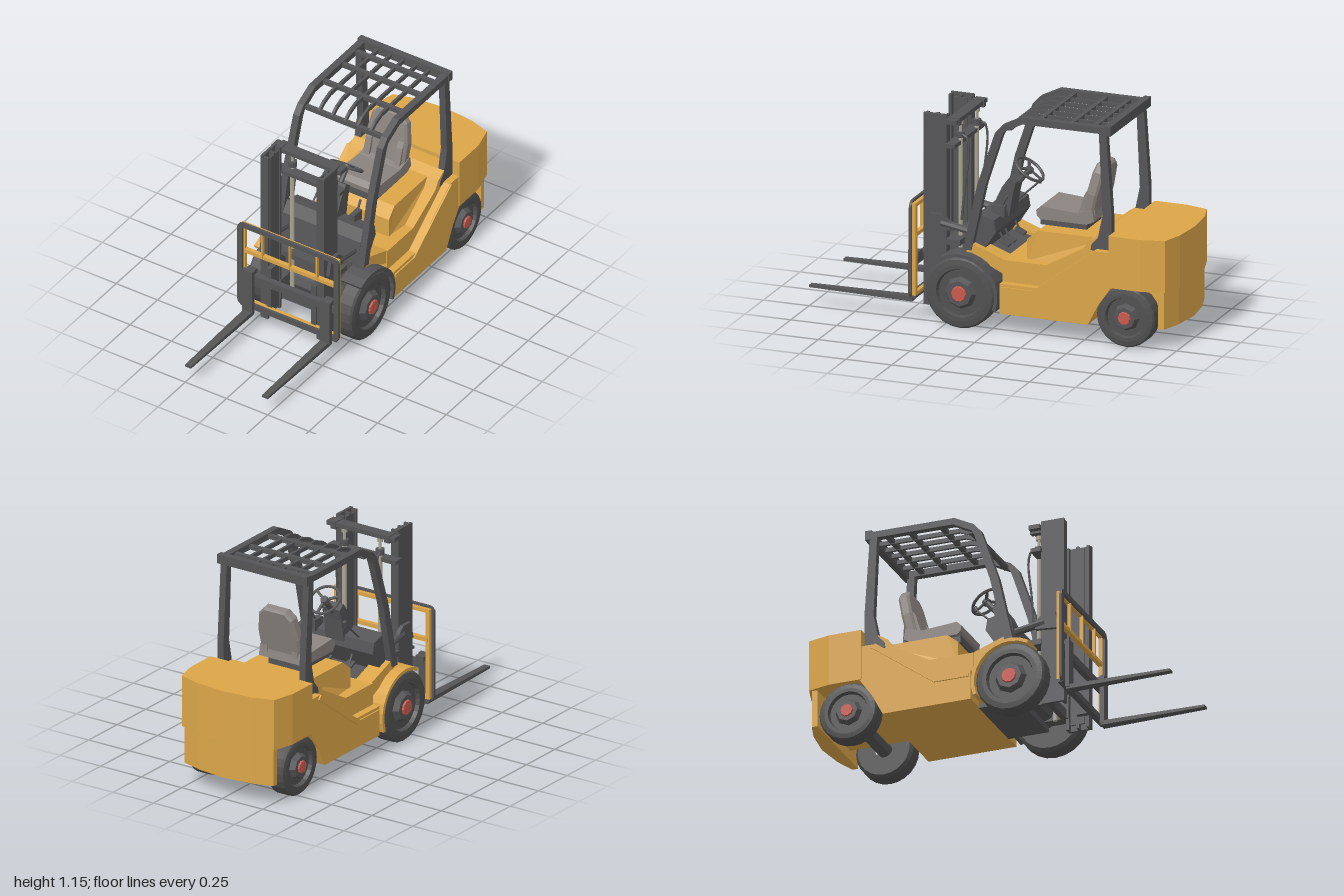
import * as THREE from 'three';

export function createModel() {
  const root = new THREE.Group();
  root.name = 'forklift';
  const mat = (name, color) => {
    const m = new THREE.MeshStandardMaterial({ color });
    m.name = name;
    return m;
  };
  const yellow = mat('yellow paint', 0xdba548), steel = mat('dark steel', 0x555557);
  const rubber = mat('tyre rubber', 0x505050), red = mat('red hub', 0xc95a4c);
  const fabric = mat('seat fabric', 0x8b8480), rod = mat('cylinder rod', 0xaaa594);

  // Faceted mesh
  const add = (name, geo, m, parent = root) => {
    const g = geo.index ? geo.toNonIndexed() : geo;
    g.computeVertexNormals();
    const mesh = new THREE.Mesh(g, m);
    mesh.name = name;
    parent.add(mesh);
    return mesh;
  };
  const box = (name, m, x0, x1, y0, y1, z0, z1) => add(name,
    new THREE.BoxGeometry(Math.abs(x1 - x0), y1 - y0, z1 - z0).translate((x0 + x1) / 2, (y0 + y1) / 2, (z0 + z1) / 2), m);
  const shapeOf = pts => new THREE.Shape(pts.map(p => new THREE.Vector2(p[0], p[1])));
  // Side profile of [z, y] points, extruded across x
  const sideGeo = (pts, x0, x1) => new THREE.ExtrudeGeometry(shapeOf(pts),
    { depth: Math.abs(x1 - x0), bevelEnabled: false }).rotateY(-Math.PI / 2).translate(Math.max(x0, x1), 0, 0);
  const side = (name, m, pts, x0, x1) => add(name, sideGeo(pts, x0, x1), m);
  // Plan outline of [x, z] points, extruded up y
  const plan = (name, m, pts, y0, y1) => add(name, new THREE.ExtrudeGeometry(
    shapeOf(pts.map(([x, z]) => [x, -z])), { depth: y1 - y0, bevelEnabled: false }).rotateX(-Math.PI / 2).translate(0, y0, 0), m);
  const V = p => new THREE.Vector3(...p);
  const bar = (name, m, a, b, r, n = 8) => {
    const A = V(a), B = V(b), d = B.clone().sub(A);
    const mesh = add(name, new THREE.CylinderGeometry(r, r, d.length(), n), m);
    mesh.position.copy(A).add(B).multiplyScalar(0.5);
    mesh.quaternion.setFromUnitVectors(new THREE.Vector3(0, 1, 0), d.normalize());
    return mesh;
  };
  const tube = (name, m, pts, r) => add(name,
    new THREE.TubeGeometry(new THREE.CatmullRomCurve3(pts.map(V)), 14, r, 6), m);
  const both = f => [-1, 1].forEach(f);

  // Chassis
  side('chassis', yellow, [[-0.06, 0.105], [-0.54, 0.105], [-0.6, 0.22], [-0.67, 0.32], [-0.67, 0.49],
    [-0.5, 0.49], [-0.3, 0.38], [-0.06, 0.38]], -0.27, 0.27);
  side('rearDeck', yellow, [[-0.48, 0.46], [-0.66, 0.46], [-0.66, 0.567], [-0.58, 0.567], [-0.53, 0.535]], -0.27, 0.27);
  box('rearAxleHousing', yellow, -0.17, 0.17, 0.17, 0.34, -0.93, -0.55);
  both(s => {
    side('sidePanel', yellow, [[-0.06, 0.105], [-0.54, 0.105], [-0.6, 0.22], [-0.67, 0.32], [-0.67, 0.5],
      [-0.575, 0.5], [-0.26, 0.265], [-0.06, 0.265]], s * 0.265, s * 0.31);
    side('stepRail', yellow, [[-0.24, 0.25], [-0.58, 0.5], [-0.6, 0.48], [-0.26, 0.23], [-0.07, 0.23], [-0.07, 0.25]], s * 0.3, s * 0.318);
    side('floorEdge', yellow, [[0.14, 0.4], [0.12, 0.45], [-0.07, 0.38], [-0.07, 0.3]], s * 0.17, s * 0.265);
  });
  side('frontFrame', steel, [[0.16, 0.1], [0.16, 0.42], [-0.06, 0.37], [-0.06, 0.1]], -0.2, 0.2);
  bar('frontAxle', steel, [-0.24, 0.19, 0.155], [0.24, 0.19, 0.155], 0.06);
  bar('rearAxle', steel, [-0.22, 0.16, -0.737], [0.22, 0.16, -0.737], 0.04);

  // Engine hood, narrowing towards the top
  const hood = sideGeo([[-0.17, 0.37], [-0.17, 0.485], [-0.23, 0.535], [-0.6, 0.535], [-0.6, 0.37]], -0.26, 0.26);
  const hp = hood.attributes.position;
  for (let i = 0; i < hp.count; i++) {
    const y = hp.getY(i), z = hp.getZ(i);
    hp.setX(i, hp.getX(i) * (y > 0.5 ? 0.78 : 1) * (z > -0.2 ? 0.8 : 1));
  }
  add('engineHood', hood, yellow);

  // Counterweight
  const half = [[0.315, -0.655], [0.315, -0.83], [0.285, -0.95], [0.17, -0.985]];
  const mirrored = h => [...h, [0, -1], ...h.map(([x, z]) => [-x, z]).reverse()];
  plan('counterweight', yellow, mirrored(half), 0.315, 0.59);
  plan('counterweightSkirt', yellow, mirrored([[0.275, -0.915], [0.275, -0.945], [0.165, -0.98]]).map(([x, z]) => [x, z + 0.005]), 0.115, 0.316);

  // Fenders over the front wheels
  const arc = [];
  for (let i = 0; i <= 10; i++) arc.push([0.21, i / 10]);
  for (let i = 10; i >= 0; i--) arc.push([0.192, i / 10]);
  const fender = arc.map(([r, t]) => {
    const a = 1.05 + t * 2.45;
    return [0.155 + r * Math.cos(a), 0.19 + r * Math.sin(a)];
  });
  both(s => side('frontFender', s < 0 ? yellow : steel, fender, s * 0.2, s * 0.325));

  // Wheels: tyre and rim turned around the axle, with an octagonal hub and red cap
  const wheel = (name, s, x, y, z, r, w) => {
    const g = new THREE.Group();
    g.name = name;
    const prof = [[0.3, -0.5], [0.9, -0.5], [1, -0.36], [1, 0.36], [0.95, 0.46], [0.8, 0.5], [0.68, 0.5], [0.64, 0.3], [0.3, 0.3]];
    add('tyre', new THREE.LatheGeometry(prof.map(([a, b]) => new THREE.Vector2(a * r, b * w)), 24), rubber, g);
    add('rimHub', new THREE.CylinderGeometry(r * 0.36, r * 0.47, w * 0.3, 8).translate(0, w * 0.42, 0), steel, g);
    add('hubCap', new THREE.CylinderGeometry(r * 0.2, r * 0.23, w * 0.1, 10).translate(0, w * 0.6, 0), red, g);
    g.rotation.z = -s * Math.PI / 2;
    g.position.set(s * x, y, z);
    root.add(g);
  };
  both(s => {
    wheel('frontWheel', s, 0.268, 0.19, 0.155, 0.187, 0.104);
    wheel('rearWheel', s, 0.246, 0.16, -0.737, 0.157, 0.104);
  });

  // Overhead guard
  both(s => {
    side('guardFrontLeg', steel, [[0.155, 0.41], [0.075, 0.77], [-0.02, 1.05], [-0.06, 1.095], [-0.165, 1.147], [-0.62, 1.147],
      [-0.62, 1.112], [-0.17, 1.112], [-0.07, 1.06], [-0.055, 1.03], [0.03, 0.77], [0.11, 0.41]], s * 0.235, s * 0.272);
    side('guardRearLeg', steel, [[-0.585, 1.12], [-0.625, 1.12], [-0.655, 0.68], [-0.655, 0.49], [-0.54, 0.49],
      [-0.545, 0.52], [-0.58, 0.56], [-0.605, 0.68]], s * 0.235, s * 0.272);
  });
  box('guardRearBeam', steel, -0.277, 0.277, 1.105, 1.155, -0.65, -0.615);
  [[-0.545, 1.13], [-0.42, 1.13], [-0.25, 1.13], [-0.085, 1.073]].forEach(([z, y]) =>
    box('guardCrossbar', steel, -0.24, 0.24, y - 0.012, y + 0.01, z - 0.012, z + 0.012));
  for (let i = -2; i <= 2; i++) side('guardSlat', steel, [[-0.08, 1.085], [-0.12, 1.115], [-0.18, 1.137], [-0.62, 1.137],
    [-0.62, 1.115], [-0.18, 1.115], [-0.125, 1.095], [-0.085, 1.065]], i * 0.078 - 0.007, i * 0.078 + 0.007);

  // Dashboard, steering column and wheel, levers, pedals
  side('dashboard', steel, [[0.155, 0.4], [0.13, 0.54], [0.09, 0.595], [0.0, 0.57], [-0.01, 0.51], [0.06, 0.4]], -0.235, 0.235);
  side('columnCover', steel, [[0.09, 0.56], [0.03, 0.69], [-0.01, 0.745], [-0.045, 0.72], [-0.03, 0.66], [-0.01, 0.54]], -0.055, 0.055);
  bar('steeringColumn', steel, [0, 0.69, -0.02], [0, 0.78, -0.098], 0.015);
  const steering = new THREE.Group();
  steering.name = 'steeringWheel';
  add('steeringRim', new THREE.TorusGeometry(0.083, 0.008, 6, 24).rotateX(Math.PI / 2), steel, steering);
  add('steeringBoss', new THREE.CylinderGeometry(0.02, 0.024, 0.02, 10), steel, steering);
  for (let i = 0; i < 3; i++) add('steeringSpoke',
    new THREE.BoxGeometry(0.08, 0.008, 0.014).translate(0.042, 0, 0).rotateY(Math.PI / 2 + i * Math.PI * 2 / 3), steel, steering);
  steering.rotation.x = -0.64;
  steering.position.set(0, 0.785, -0.1);
  root.add(steering);
  bar('driveLever', steel, [-0.13, 0.57, 0.02], [-0.13, 0.68, -0.1], 0.005, 6);
  bar('driveLeverKnob', steel, [-0.13, 0.675, -0.1], [-0.13, 0.7, -0.11], 0.011, 8);
  box('controlBox', steel, 0.115, 0.145, 0.56, 0.62, -0.02, 0.05);
  bar('controlLever', steel, [0.13, 0.6, 0.01], [0.13, 0.67, -0.03], 0.006, 6);
  [-0.09, 0.05, 0.12].forEach(x => {
    bar('pedalArm', steel, [x, 0.5, 0.03], [x, 0.43, -0.01], 0.006, 6);
    side('pedal', steel, [[0.01, 0.44], [-0.04, 0.415], [-0.04, 0.405], [0.01, 0.425]], x - 0.022, x + 0.022);
  });

  // Seat
  box('seatBase', steel, -0.1, 0.1, 0.535, 0.575, -0.45, -0.2);
  side('seatCushion', fabric, [[-0.19, 0.585], [-0.185, 0.615], [-0.21, 0.64], [-0.4, 0.625], [-0.49, 0.65], [-0.5, 0.59], [-0.46, 0.57], [-0.21, 0.57]], -0.125, 0.125);
  const seatBack = new THREE.ExtrudeGeometry(shapeOf([[-0.11, 0], [0.11, 0], [0.115, 0.12], [0.095, 0.23], [0.06, 0.265],
    [-0.06, 0.265], [-0.095, 0.23], [-0.115, 0.12]]), { depth: 0.035, bevelThickness: 0.012, bevelSize: 0.01, bevelSegments: 1 });
  add('seatBack', seatBack.rotateX(-0.23).translate(0, 0.61, -0.475), fabric);
  both(s => side('seatBolster', fabric, [[-0.41, 0.62], [-0.44, 0.72], [-0.49, 0.8], [-0.5, 0.62]], s * 0.075, s * 0.11));

  // Mast: two channel rails on each side, cross members and lift cylinders
  both(s => {
    box('mastOuterRail', steel, s * 0.176, s * 0.192, 0.068, 1.085, 0.275, 0.4);
    [0.275, 0.33, 0.385].forEach(z => box('mastRailFlange', steel, s * 0.147, s * 0.18, 0.068, 1.08, z, z + 0.015));
    box('mastInnerRail', steel, s * 0.147, s * 0.156, 0.09, 1.07, 0.3, 0.375);
    box('mastTopBracket', steel, s * 0.15, s * 0.18, 1.03, 1.07, 0.21, 0.28);
    bar('liftCylinder', rod, [s * 0.11, 0.11, 0.232], [s * 0.11, 0.94, 0.232], 0.012, 10);
    bar('liftRod', rod, [s * 0.11, 0.94, 0.232], [s * 0.11, 1.045, 0.232], 0.008, 10);
    bar('cylinderHead', steel, [s * 0.11, 0.95, 0.232], [s * 0.11, 0.98, 0.232], 0.024, 10);
    bar('rodCap', rod, [s * 0.11, 1.02, 0.232], [s * 0.11, 1.045, 0.232], 0.016, 10);
    tube('hose', steel, [[s * 0.12, 0.97, 0.22], [s * 0.125, 0.96, 0.195], [s * 0.125, 0.9, 0.18], [s * 0.13, 0.7, 0.2], [s * 0.14, 0.52, 0.215]], 0.006);
    // Tilt cylinder and its bracket
    side('tiltBracket', steel, [[0.38, 0.47], [0.36, 0.56], [0.29, 0.56], [0.25, 0.52], [0.25, 0.48]], s * 0.19, s * 0.212);
    bar('tiltCylinder', steel, [s * 0.2, 0.515, 0.3], [s * 0.2, 0.48, 0.1], 0.02, 8);
    box('axleMount', steel, s * 0.14, s * 0.2, 0.13, 0.25, 0.14, 0.29);
  });
  box('mastTopMember', steel, -0.21, 0.21, 1.042, 1.065, 0.215, 0.275);
  box('mastUpperMember', steel, -0.21, 0.21, 0.914, 0.935, 0.225, 0.28);
  box('mastMiddleMember', steel, -0.2, 0.2, 0.4, 0.43, 0.2, 0.28);
  box('mastLowerMember', steel, -0.19, 0.19, 0.13, 0.18, 0.25, 0.28);

  // Carriage and load backrest
  box('carriageUpperBar', steel, -0.29, 0.29, 0.3, 0.34, 0.405, 0.436);
  box('carriageLowerBar', steel, -0.29, 0.29, 0.125, 0.157, 0.405, 0.436);
  both(s => box('carriageRoller', steel, s * 0.12, s * 0.15, 0.13, 0.4, 0.34, 0.41));
  const rounded = (a, b, c, d, r) => {
    const pts = [];
    [[c - r, d - r], [a + r, d - r], [a + r, b + r], [c - r, b + r]].forEach(([x, y], k) => {
      for (let i = 0; i <= 4; i++) {
        const t = (k + i / 4) * Math.PI / 2;
        pts.push([x + r * Math.cos(t), y + r * Math.sin(t)]);
      }
    });
    return shapeOf(pts);
  };
  const frame = rounded(-0.31, 0.125, 0.305, 0.642, 0.035);
  frame.holes.push(rounded(-0.28, 0.152, 0.275, 0.615, 0.012));
  add('backrestFrame', new THREE.ExtrudeGeometry(frame, { depth: 0.014, bevelEnabled: false }).translate(0, 0, 0.422), steel);
  box('backrestRail', yellow, -0.285, 0.285, 0.453, 0.474, 0.4, 0.424);
  box('backrestTopRail', yellow, -0.285, 0.285, 0.61, 0.63, 0.402, 0.422);
  box('backrestBottomRail', yellow, -0.285, 0.285, 0.14, 0.158, 0.402, 0.422);
  both(s => box('backrestEdge', yellow, s * 0.272, s * 0.295, 0.14, 0.63, 0.402, 0.422));
  [-0.165, 0, 0.165].forEach(x => box('backrestUpright', yellow, x - 0.004, x + 0.004, 0.46, 0.62, 0.41, 0.428));

  // Forks, tapering towards the tip
  both(s => {
    box('forkShank', steel, s * 0.205, s * 0.265, 0.105, 0.37, 0.435, 0.457);
    box('forkHook', steel, s * 0.21, s * 0.26, 0.335, 0.365, 0.4, 0.44);
    const blade = sideGeo([[0.437, 0.095], [0.437, 0.12], [1, 0.115], [1, 0.102]], -0.025, 0.025);
    const p = blade.attributes.position;
    for (let i = 0; i < p.count; i++) p.setX(i, p.getX(i) * (p.getZ(i) > 0.9 ? 0.7 : 1) + s * 0.233);
    add('forkBlade', blade, steel);
  });
  return root;
}
